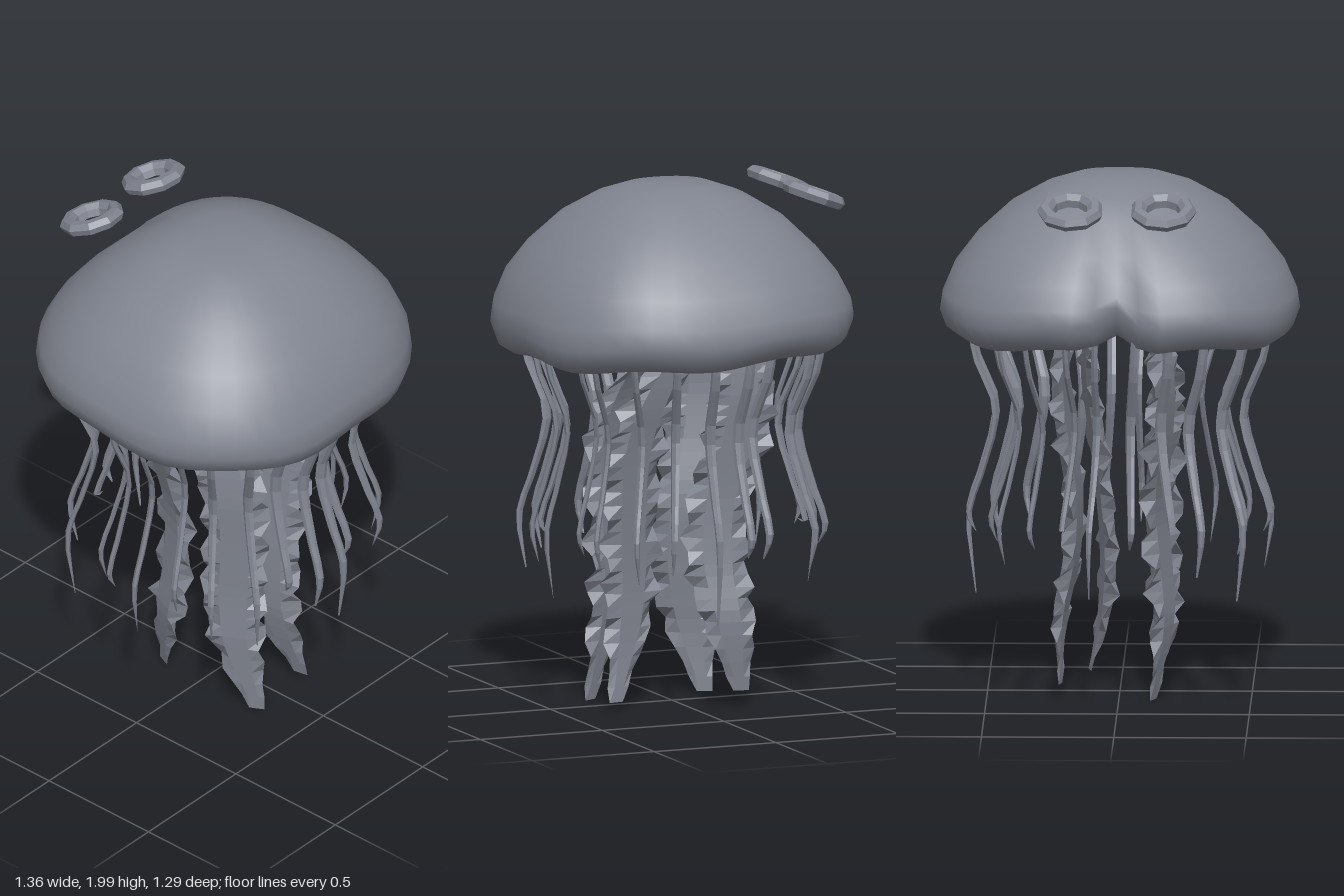
import * as THREE from 'three';
import { mergeVertices } from 'three/addons/utils/BufferGeometryUtils.js';

const skin = new THREE.MeshStandardMaterial({ color: 0x80848f });
skin.name = 'slate grey skin';

let seed = 7;
const rnd = () => (seed = (seed * 16807) % 2147483647) / 2147483647;
const v = (x, y, z) => new THREE.Vector3(x, y, z);

function add(parent, name, geometry) {
  const mesh = new THREE.Mesh(geometry, skin);
  mesh.name = name;
  parent.add(mesh);
  return mesh;
}

// Rounded-square plan outline of the bell at an angle (0 = front)
function outline(angle) {
  const n = 2.5;
  const s = Math.abs(Math.sin(angle) / 0.68), c = Math.abs(Math.cos(angle) / 0.65);
  return Math.pow(Math.pow(s, n) + Math.pow(c, n), -1 / n);
}

// Hollow bell with a curled rim and a cleft at the back
function bellGeometry() {
  const profile = [
    [0, 1.8], [0.3, 1.77], [0.55, 1.68], [0.72, 1.55], [0.78, 1.46], [0.82, 1.405], [0.9, 1.385],
    [0.965, 1.415], [1, 1.48], [0.985, 1.55], [0.92, 1.65], [0.8, 1.755], [0.62, 1.87],
    [0.42, 1.95], [0.25, 1.99], [0, 2],
  ].map(([r, y]) => new THREE.Vector2(r, y));
  let g = new THREE.LatheGeometry(profile, 48);
  const p = g.attributes.position;
  for (let i = 0; i < p.count; i++) {
    let x = p.getX(i), y = p.getY(i), z = p.getZ(i);
    const r = Math.hypot(x, z);
    const angle = r > 1e-5 ? Math.atan2(x, z) : 0;
    const k = outline(angle);
    const low = THREE.MathUtils.clamp((1.7 - y) / 0.25, 0, 1) * r;
    x *= k;
    z *= k;
    y += low * (-0.045 * z + 0.012 * Math.sin(angle * 7 + 1));
    if (z < 0) {
      const cleft = Math.exp(-((x / 0.075) ** 2)) * THREE.MathUtils.smoothstep(r, 0.6, 1);
      z += 0.1 * cleft;
      y += 0.09 * cleft * low;
    }
    p.setXYZ(i, x, y, z);
  }
  g.deleteAttribute('uv');
  g.deleteAttribute('normal');
  g = mergeVertices(g, 1e-4);
  g.computeVertexNormals();
  return g;
}

// Faceted ribbon lofted down a path; half(t) is its half width, dir the plan angle of its width
function ribbon(points, rows, half, thick, dir, ruffle = 0) {
  const curve = new THREE.CatmullRomCurve3(points);
  const w = v(Math.sin(dir), 0, Math.cos(dir));
  const n = v(-w.z, 0, w.x);
  const ring = [[-1, 0], [-0.45, 1], [0.45, 1], [1, 0], [0.45, -1], [-0.45, -1]];
  const pos = [], index = [];
  for (let i = 0; i <= rows; i++) {
    const t = i / rows;
    const c = curve.getPoint(t), h = half(t);
    const taper = Math.min(1, (1 - t) * 6);
    ring.forEach(([a, b]) => {
      const edge = Math.abs(a) === 1 ? ruffle * taper : 0;
      const across = a * h + a * edge * 0.55 * Math.sin(i * 2.3 + a);
      const out = b * thick * taper + edge * Math.sin(i * 1.7 + a * 2);
      const q = c.clone().addScaledVector(w, across).addScaledVector(n, out);
      pos.push(q.x, Math.max(0, q.y), q.z);
    });
  }
  for (let i = 0; i < rows; i++) {
    for (let k = 0; k < 6; k++) {
      const a = i * 6 + k, b = i * 6 + (k + 1) % 6;
      index.push(a, a + 6, b, b, a + 6, b + 6);
    }
  }
  let g = new THREE.BufferGeometry();
  g.setAttribute('position', new THREE.Float32BufferAttribute(pos, 3));
  g.setIndex(index);
  g = g.toNonIndexed();
  g.computeVertexNormals();
  return g;
}

// Interpolated half width from evenly spaced samples
const widths = (list) => (t) => {
  const f = t * (list.length - 1), i = Math.min(Math.floor(f), list.length - 2);
  return THREE.MathUtils.lerp(list[i], list[i + 1], f - i);
};

// Four broad frilled arms hanging from the middle
function addArms(parent) {
  const front = [-0.13, -0.02, 0.12, 0.19, 0.2, 0.19, 0.21, 0.28];
  const back = [-0.14, -0.18, -0.2, -0.18, -0.12, -0.11, -0.14, -0.19];
  const heights = [1.7, 1.42, 1.2, 1.0, 0.75, 0.5, 0.28, 0.01];
  const wide = widths([0.05, 0.08, 0.12, 0.13, 0.12, 0.12, 0.1, 0.03]);
  const arms = [
    ['frontRightArm', front, [-0.08, -0.13, -0.17, -0.17, -0.16, -0.16, -0.16, -0.13], 0.5, 0],
    ['frontLeftArm', front, [0.06, 0.1, 0.12, 0.1, 0.07, 0.05, 0.06, 0.12], 0.2, 0.03],
    ['backRightArm', back, [-0.08, -0.15, -0.17, -0.16, -0.14, -0.16, -0.17, -0.13], -0.4, 0],
    ['backLeftArm', back, [0.08, 0.2, 0.22, 0.2, 0.17, 0.18, 0.22, 0.22], -0.2, 0.06],
  ];
  for (const [name, zs, xs, dir, lift] of arms) {
    const path = heights.map((y, i) => v(xs[i], y + (lift * i) / 7, zs[i]));
    add(parent, name, ribbon(path, 34, wide, 0.022, dir, 0.03));
  }
}

// Thin tentacles hanging inside the rim, pinched inward then flaring out
function addTentacles(parent) {
  const group = new THREE.Group();
  group.name = 'tentacles';
  const count = 24;
  const thin = widths([0.016, 0.02, 0.022, 0.018, 0.015, 0.003]);
  for (let i = 0; i < count; i++) {
    const angle = ((i + 0.5) / count) * Math.PI * 2 + (rnd() - 0.5) * 0.12;
    const k = outline(angle), drift = (rnd() - 0.5) * 0.15;
    const inset = i % 3 === 1 ? 0.1 : 0;
    const end = 0.36 + rnd() * 0.3 + inset;
    const steps = [[0.84, 1.46], [0.8, 1.3], [0.69, 1.1], [0.76, 0.88], [0.84, 0.7], [0.8, end]];
    const path = steps.map(([f, y], j) => {
      const a = angle + (drift * j) / 5, r = (f - inset) * k;
      return v(r * Math.sin(a), y, r * Math.cos(a));
    });
    add(group, 'tentacle', ribbon(path, 14, thin, 0.009, angle + 0.9));
  }
  parent.add(group);
}

// Two tilted floating eye rings above the back of the bell
function addEyes(parent) {
  for (const side of [-1, 1]) {
    const eye = new THREE.Group();
    eye.name = side > 0 ? 'leftEye' : 'rightEye';
    const section = [
      [0.062, -0.022], [0.115, -0.024], [0.127, 0], [0.112, 0.022], [0.085, 0.026], [0.066, 0.006], [0.062, -0.022],
    ].map(([r, y]) => new THREE.Vector2(r, y));
    const g = new THREE.LatheGeometry(section, 9).toNonIndexed();
    g.computeVertexNormals();
    add(eye, 'eyeRing', g);
    eye.position.set(side * 0.175, 1.943, -0.51);
    eye.rotation.set(-0.36, side * 0.2, 0);
    parent.add(eye);
  }
}

export function createModel() {
  const model = new THREE.Group();
  model.name = 'jellyfish';
  add(model, 'bell', bellGeometry());
  addArms(model);
  addTentacles(model);
  addEyes(model);
  return model;
}
